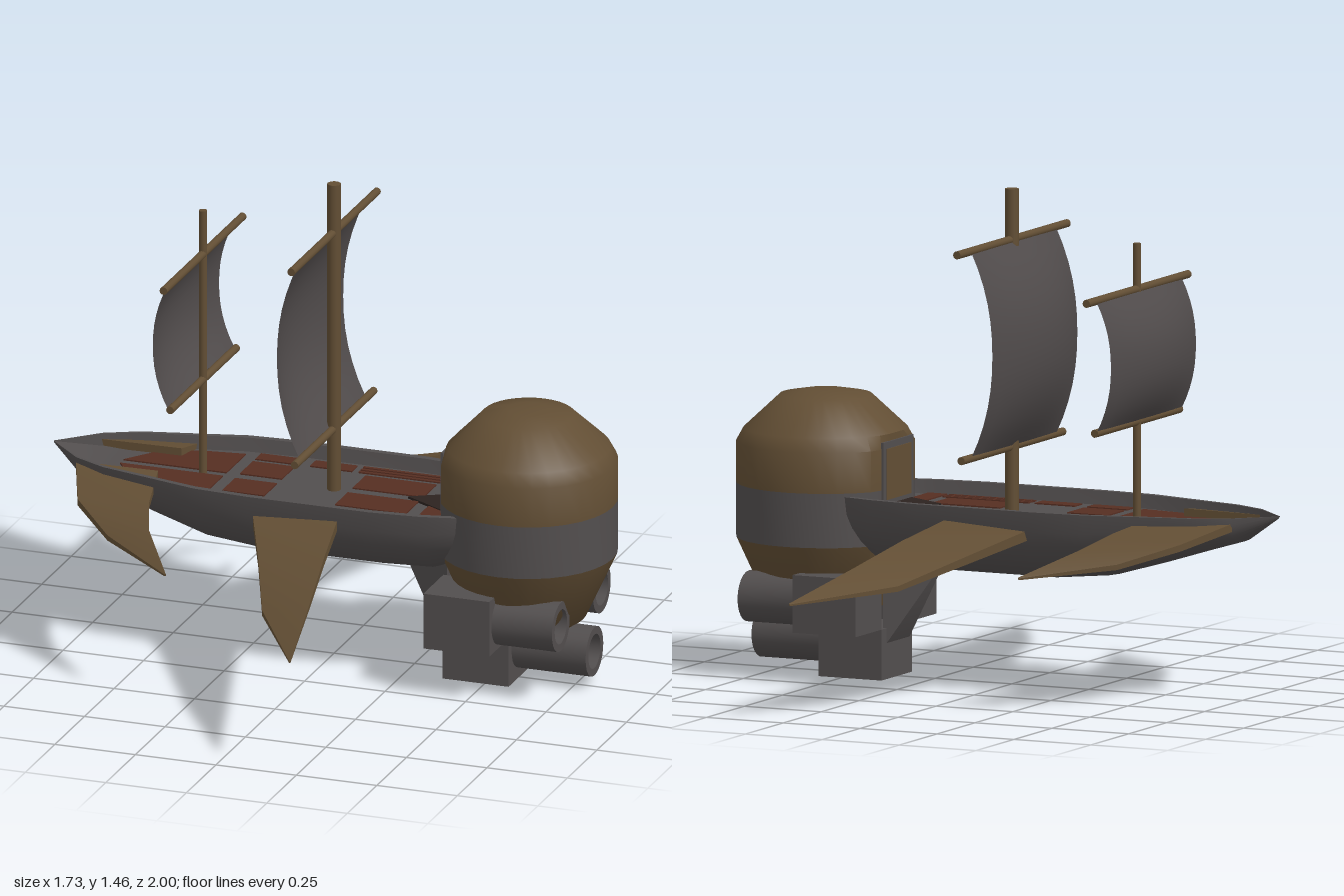
import * as THREE from 'three';
import { toCreasedNormals } from 'three/addons/utils/BufferGeometryUtils.js';

const mat = (name, color, side = THREE.FrontSide) => {
  const m = new THREE.MeshStandardMaterial({ color, side });
  m.name = name;
  return m;
};

// Skin a series of closed cross-sections, facing outward, with optional end caps
function loft(sections, caps = true, crease = 0.6) {
  const n = sections[0].length, tris = [];
  for (let i = 0; i < sections.length - 1; i++) {
    for (let j = 0; j < n; j++) {
      const k = (j + 1) % n, a = sections[i], b = sections[i + 1];
      tris.push([a[j], b[j], b[k]], [a[j], b[k], a[k]]);
    }
  }
  if (caps) {
    const a = sections[0], b = sections[sections.length - 1];
    for (let j = 1; j < n - 1; j++) tris.push([a[0], a[j], a[j + 1]], [b[0], b[j + 1], b[j]]);
  }
  const vec = (p) => new THREE.Vector3(...p);
  let volume = 0;
  for (const [a, b, c] of tris) volume += vec(a).dot(vec(b).cross(vec(c)));
  const flat = tris.flatMap(([a, b, c]) => (volume > 0 ? [...a, ...b, ...c] : [...a, ...c, ...b]));
  const geo = new THREE.BufferGeometry();
  geo.setAttribute('position', new THREE.Float32BufferAttribute(flat, 3));
  geo.computeVertexNormals();
  return toCreasedNormals(geo, crease);
}

export function createModel() {
  const ship = new THREE.Group();
  ship.name = 'airship';
  const iron = mat('iron grey', 0x524e4e);
  const cloth = mat('sail grey', 0x504b4b, THREE.DoubleSide);
  const wood = mat('brown wood', 0x624e34);
  const red = mat('red deck', 0x562e22);
  const dark = mat('dark hatch', 0x2c2320);

  const add = (name, geo, material, x = 0, y = 0, z = 0) => {
    const mesh = new THREE.Mesh(geo, material);
    mesh.name = name;
    mesh.position.set(x, y, z);
    ship.add(mesh);
    return mesh;
  };
  const block = (name, material, x0, x1, y0, y1, z0, z1) =>
    add(name, new THREE.BoxGeometry(x1 - x0, y1 - y0, z1 - z0), material,
      (x0 + x1) / 2, (y0 + y1) / 2, (z0 + z1) / 2);

  // Hull: x, half width, keel height, deck height
  const stations = [
    [-0.87, 0.002, 0.545, 0.548], [-0.76, 0.11, 0.47, 0.515], [-0.66, 0.16, 0.44, 0.51],
    [-0.5, 0.2, 0.39, 0.51], [-0.35, 0.238, 0.347, 0.51], [-0.18, 0.25, 0.33, 0.51],
    [0.2, 0.25, 0.33, 0.51], [0.35, 0.235, 0.335, 0.51], [0.47, 0.207, 0.38, 0.51],
    [0.58, 0.12, 0.46, 0.51],
  ];
  const hullSection = ([x, w, keel, deck]) => {
    const pts = [];
    for (let i = 0; i <= 14; i++) {
      const t = (i / 14) * Math.PI, c = Math.cos(t);
      pts.push([x, 0.55 - (0.55 - keel) * Math.pow(Math.sin(t), 0.85),
        w * Math.sign(c) * Math.pow(Math.abs(c), 0.85)]);
    }
    const rim = w * 0.92, inner = w * 0.88;
    pts.push([x, 0.55, -rim], [x, deck, -inner], [x, deck, inner], [x, 0.55, rim]);
    return pts;
  };
  add('hull', loft(stations.map(hullSection), false), iron);

  // Deck panels, mirrored about the centre line
  const panels = [
    [-0.3, -0.17, 0.02, 0.13], [-0.3, -0.17, 0.15, 0.2], [-0.13, 0.0, 0.15, 0.2],
    [0.05, 0.27, 0.02, 0.13], [0.31, 0.37, 0.01, 0.2],
    [0.02, 0.3, 0.15, 0.162], [0.02, 0.3, 0.17, 0.182], [0.02, 0.3, 0.19, 0.202],
  ];
  for (const s of [1, -1]) {
    for (const [x0, x1, z0, z1] of panels) {
      block('deckPanel', red, x0, x1, 0.508, 0.514, Math.min(s * z0, s * z1), Math.max(s * z0, s * z1));
    }
    const bow = new THREE.Shape([[-0.66, 0.015], [-0.34, 0.015], [-0.34, 0.18], [-0.48, 0.16], [-0.59, 0.11]]
      .map(([x, z]) => new THREE.Vector2(x, -s * z)));
    const geo = new THREE.ExtrudeGeometry(bow, { depth: 0.006, bevelEnabled: false });
    add('bowPanel', geo.rotateX(-Math.PI / 2), red, 0, 0.508, 0);
  }
  const hatch = new THREE.Shape([[0.23, 0], [0.37, -0.08], [0.37, 0.08]].map((p) => new THREE.Vector2(...p)));
  add('deckHatch', new THREE.ExtrudeGeometry(hatch, { depth: 0.009, bevelEnabled: false })
    .rotateX(-Math.PI / 2), dark, 0, 0.508, 0);

  // Cabin: three bands turned about one axis, with the forward side cut flat
  const band = (name, material, profile) => {
    const geo = new THREE.LatheGeometry(profile.map((p) => new THREE.Vector2(...p)), 32);
    const pos = geo.attributes.position;
    for (let i = 0; i < pos.count; i++) pos.setX(i, Math.max(pos.getX(i), -0.23));
    add(name, toCreasedNormals(geo, 0.6), material, 0.6, 0, -0.01);
  };
  band('cabinBase', wood, [[0, 0.13], [0.08, 0.14], [0.17, 0.2], [0.262, 0.4]]);
  band('cabinBand', iron, [[0.262, 0.4], [0.262, 0.56]]);
  band('cabinDome', wood, [[0.262, 0.56], [0.262, 0.68], [0.24, 0.72], [0.135, 0.818], [0.06, 0.832], [0, 0.833]]);
  block('doorFrame', iron, 0.364, 0.372, 0.51, 0.7, -0.11, 0.09);
  block('doorPanel', wood, 0.361, 0.366, 0.53, 0.68, -0.09, 0.07);

  // Keel strut below the stern
  const strut = (x, y0, w) => [[x, 0.36, -w], [x, 0.36, w], [x, y0, w], [x, y0, -w]];
  add('keelStrut', loft([strut(0.22, 0.345, 0.005), strut(0.38, 0.09, 0.08)]), iron);

  // Engines with hollow nozzles: centre y, centre z, nozzle end
  for (const [y0, y1, z, end] of [[0, 0.15, -0.01, 0.805], [0.15, 0.32, 0.168, 0.763], [0.15, 0.32, -0.195, 0.763]]) {
    const half = y0 ? 0.085 : 0.1;
    block('engineBlock', iron, 0.37, 0.575, y0, y1, z - half, z + half);
    const len = end - 0.56;
    const pts = [[0.075, 0], [0.075, len], [0.052, len], [0.052, len - 0.1], [0, len - 0.1]];
    const geo = new THREE.LatheGeometry(pts.map((p) => new THREE.Vector2(...p)), 24).rotateZ(-Math.PI / 2);
    add('engineNozzle', toCreasedNormals(geo, 0.6), iron, 0.56, y0 ? 0.235 : 0.105, z + (y0 ? Math.sign(z) * -0.008 : 0));
  }

  // Wings: z, leading x and y, trailing x and y, thickness
  const wing = (name, rows) => {
    for (const s of [1, -1]) {
      add(name, loft(rows.map(([z, xl, yl, xt, yt, t]) => [
        [xl, yl + t / 2, s * z], [xt, yt + t / 2, s * z], [xt, yt - t / 2, s * z], [xl, yl - t / 2, s * z],
      ])), wood);
    }
  };
  wing('mainWing', [
    [0.2, -0.18, 0.487, 0.09, 0.497, 0.03], [0.25, -0.16, 0.475, 0.1, 0.492, 0.03],
    [0.45, -0.07, 0.425, 0.135, 0.46, 0.024], [0.69, 0.03, 0.368, 0.178, 0.41, 0.016],
    [1, 0.228, 0.348, 0.232, 0.35, 0.005],
  ]);
  wing('bowFin', [
    [0.1, -0.765, 0.522, -0.51, 0.525, 0.024], [0.29, -0.69, 0.482, -0.468, 0.5, 0.02],
    [0.42, -0.55, 0.434, -0.42, 0.465, 0.016], [0.585, -0.312, 0.405, -0.308, 0.407, 0.005],
  ]);

  // Masts, yards and billowing sails
  const rig = (x, mastR, top, y0, y1, yardTop, yardLow, depth) => {
    add('mast', new THREE.CylinderGeometry(mastR, mastR, top - 0.5, 16), wood, x, (top + 0.5) / 2, 0);
    for (const [y, half] of [[y1, yardTop], [y0, yardLow]]) {
      add('yard', new THREE.CylinderGeometry(0.012, 0.012, half * 2, 12).rotateX(Math.PI / 2), wood, x, y, 0);
    }
    const geo = new THREE.PlaneGeometry(0.56, y1 - y0, 12, 12).rotateY(Math.PI / 2);
    const pos = geo.attributes.position;
    for (let i = 0; i < pos.count; i++) {
      const u = pos.getZ(i) / 0.28, v = pos.getY(i) / ((y1 - y0) / 2);
      pos.setX(i, -0.005 - depth * (1 - Math.pow(Math.abs(v), 2.2)) * (1 - 0.42 * u * u));
    }
    geo.computeVertexNormals();
    add('sail', geo, cloth, x, (y0 + y1) / 2, 0);
  };
  rig(0, 0.02, 1.46, 0.7, 1.31, 0.363, 0.335, 0.12);
  rig(-0.407, 0.012, 1.325, 0.8, 1.19, 0.335, 0.28, 0.083);

  return ship;
}
